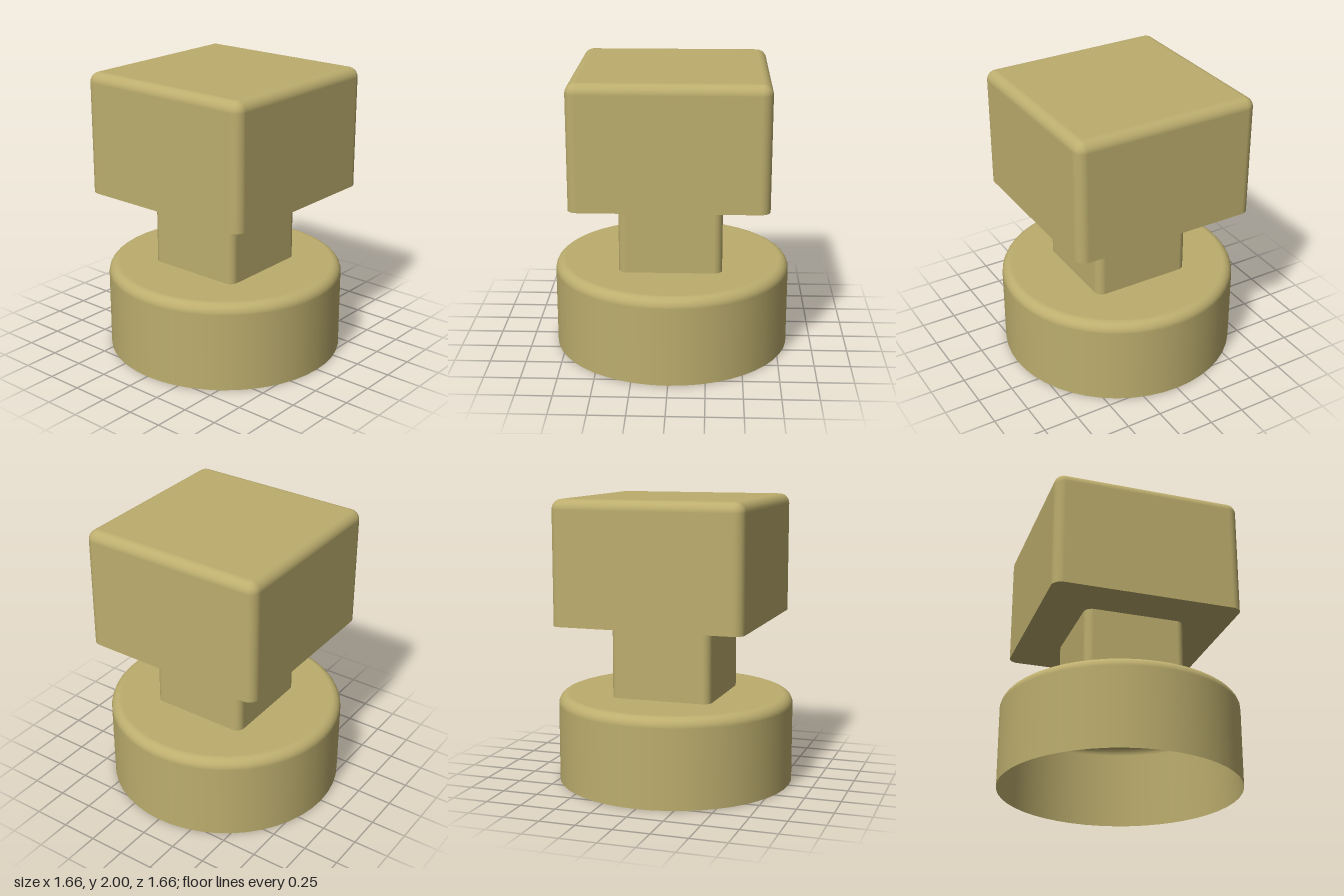
import * as THREE from 'three';

// Rounded-square outline: [x, z, angle]; core 0 gives a circle
function outline(core, r, seg) {
  const pts = [];
  for (let q = 0; q < 4; q++) {
    const mid = (q + 0.5) * Math.PI / 2;
    const sx = Math.sign(Math.cos(mid)) * core, sz = Math.sign(Math.sin(mid)) * core;
    for (let i = 0; i <= seg; i++) {
      const a = (q + i / seg) * Math.PI / 2;
      pts.push([sx + r * Math.cos(a), sz + r * Math.sin(a), a]);
    }
  }
  return pts;
}

// Walls from a stack of rings [radius, y, tilt], with exact smooth normals
function walls(core, rings, seg) {
  const pos = [], nor = [], idx = [];
  const n = 4 * (seg + 1);
  rings.forEach(([r, y, t], j) => {
    for (const [x, z, a] of outline(core, r, seg)) {
      pos.push(x, y, z);
      nor.push(Math.cos(a) * Math.cos(t), Math.sin(t), Math.sin(a) * Math.cos(t));
    }
    if (j === 0) return;
    for (let i = 0; i < n; i++) {
      const k = (i + 1) % n, lo = (j - 1) * n, hi = j * n;
      idx.push(lo + i, hi + i, lo + k, lo + k, hi + i, hi + k);
    }
  });
  const g = new THREE.BufferGeometry();
  g.setAttribute('position', new THREE.Float32BufferAttribute(pos, 3));
  g.setAttribute('normal', new THREE.Float32BufferAttribute(nor, 3));
  g.setIndex(idx);
  return g;
}

// Straight wall ending in a rounded top edge
function roundedTop(outer, fillet, y0, y1) {
  const rings = [[outer, y0, 0]];
  for (let i = 0; i <= 6; i++) {
    const t = i / 6 * Math.PI / 2;
    rings.push([outer - fillet + fillet * Math.cos(t), y1 - fillet + fillet * Math.sin(t), t]);
  }
  return rings;
}

// Flat horizontal face, optionally with a hole
function plate(pts, y, up, hole) {
  const v = (list) => list.map(([x, z]) => new THREE.Vector2(x, z));
  const shape = new THREE.Shape(v(pts));
  if (hole) shape.holes.push(new THREE.Path(v(hole)));
  return new THREE.ShapeGeometry(shape).rotateX(up ? -Math.PI / 2 : Math.PI / 2).translate(0, y, 0);
}

export function createModel() {
  const group = new THREE.Group();
  const khaki = new THREE.MeshStandardMaterial({ color: 0xbdae6e, side: THREE.DoubleSide });
  khaki.name = 'khaki';
  const add = (name, geometry) => {
    const m = new THREE.Mesh(geometry, khaki);
    m.name = name;
    group.add(m);
  };

  const baseTop = 0.62, headBottom = 1.15, fillet = 0.07;
  const neckCore = 0.3, neckRadius = 0.057;
  const neckHole = outline(neckCore, neckRadius, 6);

  // Round base, a shell open underneath
  add('baseWall', walls(0, roundedTop(0.83, fillet, 0, baseTop), 12));
  add('baseTop', plate(outline(0, 0.83 - fillet, 12), baseTop, true, neckHole));

  // Hollow square neck
  add('neck', walls(neckCore, [[neckRadius, baseTop, 0], [neckRadius, headBottom, 0]], 6));

  // Square head with rounded sides and top, sharp bottom edge
  const headCore = 0.665 - fillet;
  add('headWall', walls(headCore, roundedTop(fillet, fillet, headBottom, 2), 6));
  add('headTop', plate([[1, 1], [-1, 1], [-1, -1], [1, -1]].map(([x, z]) => [x * headCore, z * headCore]), 2, true));
  add('headUnderside', plate(outline(headCore, fillet, 6), headBottom, false, neckHole));

  return group;
}
